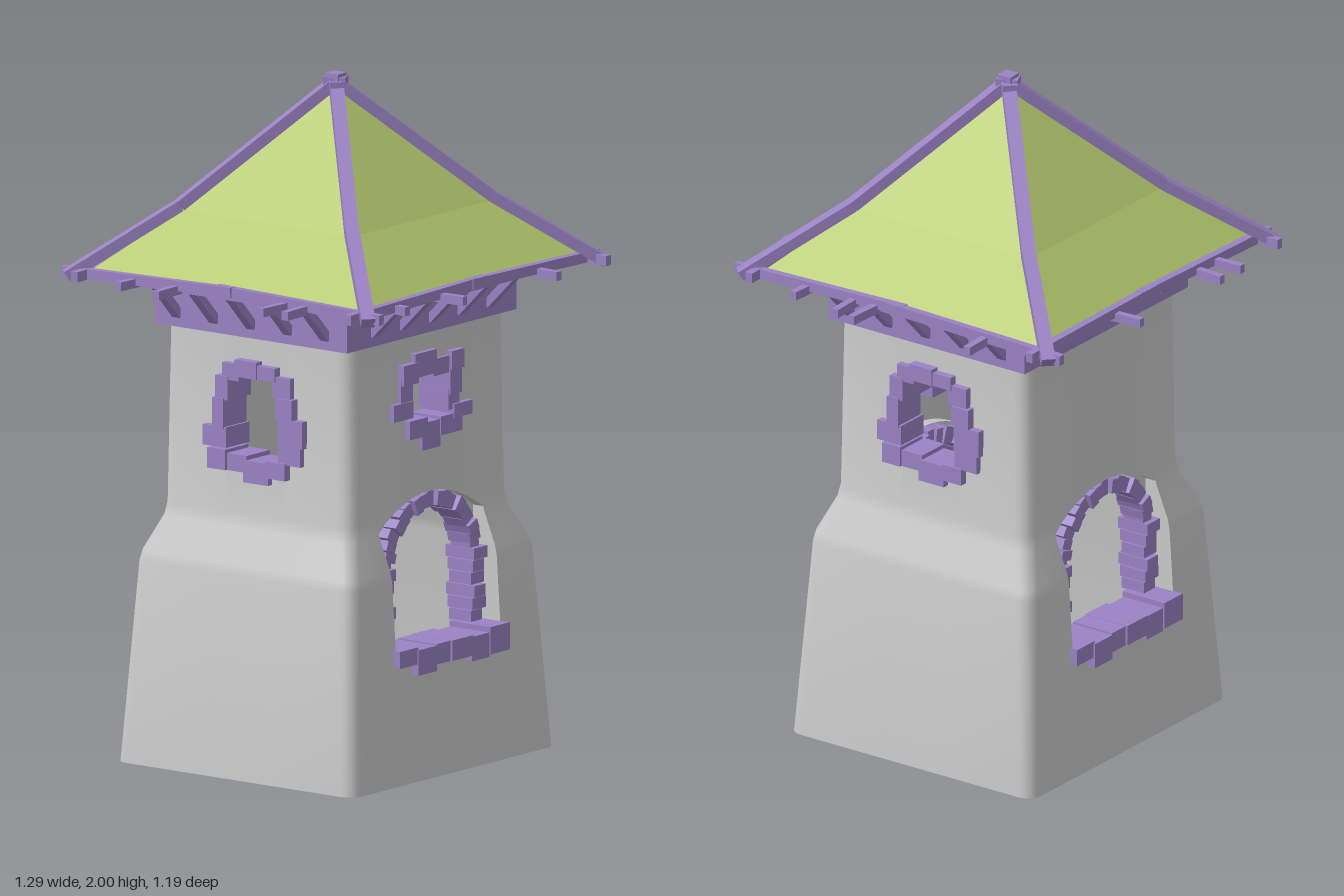
import * as THREE from 'three';
import { toCreasedNormals } from 'three/addons/utils/BufferGeometryUtils.js';

const plaster = new THREE.MeshStandardMaterial({ color: 0xcccccc, side: THREE.DoubleSide });
const timber = new THREE.MeshStandardMaterial({ color: 0x9b82c4 });
const thatch = new THREE.MeshStandardMaterial({ color: 0xb5ca70, side: THREE.DoubleSide, flatShading: true });

// Tower profile: height, half width in x, half width in z
const PROFILE = [[0, .48, .435], [.59, .441, .396], [.62, .434, .39], [.72, .386, .349], [.76, .377, .343], [1.3, .37, .335]];
const half = (y, k) => {
  let i = 1;
  while (i < PROFILE.length - 1 && y > PROFILE[i][0]) i++;
  const a = PROFILE[i - 1], b = PROFILE[i];
  return a[k] + (b[k] - a[k]) * (y - a[0]) / (b[0] - a[0]);
};

function named(name, parent) {
  const g = new THREE.Group();
  g.name = name;
  parent.add(g);
  return g;
}

function block(name, parent, x, y, z, w, h, d, roll = 0) {
  const m = new THREE.Mesh(new THREE.BoxGeometry(w, h, d), timber);
  m.name = name;
  m.position.set(x, y, z);
  m.rotation.z = roll;
  parent.add(m);
  return m;
}

// Square beam running from p to q
function beam(name, parent, p, q, w, h = w) {
  const a = new THREE.Vector3(...p), b = new THREE.Vector3(...q);
  const m = new THREE.Mesh(new THREE.BoxGeometry(w, h, a.distanceTo(b)), timber);
  m.name = name;
  m.position.copy(a).lerp(b, .5);
  m.lookAt(b);
  parent.add(m);
}

function quadsMesh(name, parent, quads, mat) {
  const pos = [];
  const tri = (a, b, c) => {
    const n = b.clone().sub(a).cross(c.clone().sub(a));
    if (n.length() > 1e-8) pos.push(...a, ...b, ...c);
  };
  for (const [a, b, c, d] of quads) { tri(a, b, c); tri(a, c, d); }
  let geo = new THREE.BufferGeometry();
  geo.setAttribute('position', new THREE.Float32BufferAttribute(pos, 3));
  geo.computeVertexNormals();
  if (!mat.flatShading) geo = toCreasedNormals(geo, .7);
  const m = new THREE.Mesh(geo, mat);
  m.name = name;
  parent.add(m);
}

// Openings in the walls: half width, sill height, head height along u
const nicheTop = u => .815 - .085 * (u / .245) ** 2;
const ARCH = { hw: .245, lo: .36, top: nicheTop };
const FRONT_WINDOW = { hw: .1, lo: 1.02, top: () => 1.17 };
const SIDE_WINDOW = { hw: .105, lo: .92, top: u => 1.185 - .04 * (u / .105) ** 2 };
const HOLES = [[ARCH, FRONT_WINDOW], [SIDE_WINDOW], [ARCH], [SIDE_WINDOW]];

function wallPoint(f, u, a, y) {
  const r = .045, th = f * Math.PI / 2;
  const A = half(y, f % 2 ? 2 : 1), N = half(y, f % 2 ? 1 : 2);
  const s = THREE.MathUtils.clamp(u, r - A, A - r) + r * Math.sin(a);
  const n = N - r + r * Math.cos(a);
  return new THREE.Vector3(s * Math.cos(th) + n * Math.sin(th), y, -s * Math.sin(th) + n * Math.cos(th));
}

function buildWalls(parent) {
  const quads = [];
  const patch = (f, c0, c1, lo, hi) => {
    const keys = PROFILE.map(p => p[0]);
    const at = ([u, a], y) => wallPoint(f, u, a, THREE.MathUtils.clamp(y, lo(u), hi(u)));
    const rows = [0, ...keys, 1.3];
    for (let i = 0; i < rows.length - 1; i++)
      quads.push([at(c0, rows[i]), at(c1, rows[i]), at(c1, rows[i + 1]), at(c0, rows[i + 1])]);
  };
  for (let f = 0; f < 4; f++) {
    const us = [-9, 9];
    for (const h of HOLES[f]) for (let i = 0; i <= 12; i++) us.push(h.hw * (i / 6 - 1));
    us.sort((a, b) => a - b);
    for (let i = 0; i < us.length - 1; i++) {
      if (us[i + 1] - us[i] < 1e-6) continue;
      let lo = () => 0;
      for (const h of HOLES[f]) if (Math.abs(us[i] + us[i + 1]) / 2 < h.hw) {
        patch(f, [us[i], 0], [us[i + 1], 0], lo, () => h.lo);
        lo = h.top;
      }
      patch(f, [us[i], 0], [us[i + 1], 0], lo, () => 1.3);
    }
    // rounded corner
    for (let i = 0; i < 4; i++)
      patch(f, [9, i * Math.PI / 8], [9, (i + 1) * Math.PI / 8], () => 0, () => 1.3);
  }
  quadsMesh('towerWalls', parent, quads, plaster);
}

// Recessed archway with stones, jambs and sill
function buildArchway(parent) {
  const g = named('archway', parent), zIn = .31;
  const outline = [[-.245, .36], [-.245, .59], [-.245, .62], [-.245, .72]];
  for (let i = 0; i <= 16; i++) { const u = -.245 + .49 * i / 16; outline.push([u, nicheTop(u)]); }
  outline.push([.245, .72], [.245, .62], [.245, .59], [.245, .36]);
  const quads = [];
  for (let i = 0; i < outline.length; i++) {
    const [a, b] = [outline[i], outline[(i + 1) % outline.length]];
    const v = ([x, y], z) => new THREE.Vector3(x, y, z);
    quads.push([v(a, half(a[1], 2)), v(b, half(b[1], 2)), v(b, zIn), v(a, zIn)]);
  }
  quadsMesh('nicheReveal', g, quads, plaster);
  const shape = new THREE.Shape(outline.map(p => new THREE.Vector2(...p)));
  const hole = new THREE.Path();
  hole.moveTo(-.2, .37);
  hole.lineTo(.2, .37);
  hole.lineTo(.2, .6);
  hole.absellipse(0, .6, .2, .185, 0, Math.PI, false);
  hole.lineTo(-.2, .37);
  shape.holes.push(hole);
  const panel = new THREE.Mesh(new THREE.ShapeGeometry(shape, 12), plaster);
  panel.name = 'nichePanel';
  panel.position.z = zIn;
  g.add(panel);
  for (let i = 0; i < 19; i++) {
    const t = Math.PI * (i + .5) / 19;
    block('archStone', g, .207 * Math.cos(t), .605 + .187 * Math.sin(t), .31, .042 + .006 * (i % 2), .03, .07 + .012 * (i % 3), t);
  }
  for (const s of [-1, 1]) for (let i = 0; i < 6; i++)
    block('jambStone', g, s * (.21 + .004 * (i % 2)), .415 + i * .037, .31, .052 + .01 * (i % 2), .034, .08 + .012 * (i % 3));
  const sill = [[-.215, .37, .085, .05], [-.135, .35, .085, .075], [-.055, .36, .065, .06], [.03, .36, .1, .06], [.12, .348, .08, .072], [.205, .36, .09, .08]];
  sill.forEach(([x, y, w, h], i) => block('sillStone', g, x, y, .365, w, h, .14 + .01 * (i % 2)));
  return g;
}

// Window surround from [u, y, width, height] stones, facing +z at the given distance
function windowFrame(name, parent, stones, face) {
  const g = named(name, parent);
  stones.forEach(([u, y, w, h], i) => block('frameStone', g, u, y, face - .05 - .004 * (i % 3), w, h, .11));
  return g;
}
const FRONT_STONES = [[-.105, 1.175, .07, .06], [-.03, 1.195, .1, .07], [.05, 1.175, .08, .05], [.115, 1.185, .06, .055], [.11, 1.125, .055, .08],
  [.105, 1.07, .05, .06], [.14, 1.035, .085, .04], [.09, 1, .1, .055], [0, .98, .085, .08], [-.07, 1.01, .085, .055],
  [-.135, 1.07, .09, .05], [-.115, 1.13, .055, .07]];
const SIDE_STONES = [[-.12, 1.05, .04, .09], [-.11, 1.125, .045, .07], [-.08, 1.175, .06, .05], [-.02, 1.19, .08, .05], [.05, 1.185, .07, .04],
  [.105, 1.15, .065, .06], [.12, 1.09, .06, .06], [.14, 1.02, .09, .08], [.135, .955, .08, .06], [.09, .905, .07, .05],
  [.015, .89, .09, .065], [-.06, .91, .08, .05], [-.125, .915, .065, .06], [-.135, .98, .085, .06]];

function buildRoof(parent) {
  const roof = named('roof', parent), rings = [[.525, .49, 1.44], [.325, .31, 1.61], [.001, .001, 1.97]];
  const corner = ([x, z, y], k) => new THREE.Vector3(k === 0 || k === 3 ? -x : x, y, k < 2 ? z : -z);
  const quads = [];
  for (let r = 0; r < 2; r++) for (let k = 0; k < 4; k++) {
    const n = (k + 1) % 4;
    quads.push([corner(rings[r], k), corner(rings[r], n), corner(rings[r + 1], n), corner(rings[r + 1], k)]);
  }
  quadsMesh('roofCover', roof, quads, thatch);
  block('eaveBoards', roof, 0, 1.428, 0, 1.05, .018, .98);
  // hip beams and finial
  for (const sx of [-1, 1]) for (const sz of [-1, 1]) {
    const mid = [sx * .328, 1.625, sz * .313];
    beam('hipBeam', roof, [sx * .555, 1.425, sz * .55], mid, .04, .032);
    beam('hipBeam', roof, mid, [0, 1.975, 0], .04, .032);
  }
  for (let i = 0; i < 3; i++) {
    const m = block('finial', roof, 0, 1.965 + i * .01, 0, .085 - .02 * i, .03, .045);
    m.rotation.y = .8 + i * 1.2;
  }
  // rough rails along the eaves
  for (const s of [-1, 1]) {
    beam('eaveRail', roof, [-.585, 1.432, s * .498], [.05, 1.447, s * .502], .024, .03);
    beam('eaveRail', roof, [-.02, 1.447, s * .505], [.58, 1.436, s * .5], .024, .03);
    beam('eaveRail', roof, [s * .53, 1.432, -.58], [s * .535, 1.447, .04], .022, .03);
    beam('eaveRail', roof, [s * .528, 1.447, -.02], [s * .532, 1.434, .58], .022, .03);
  }
  // loose rafter ends: position along the eave, reach
  const ends = { front: [[-.36, .55], [-.165, .59], [.3, .59]], back: [[-.31, .6], [-.235, .6], [.18, .6]],
    right: [[-.305, .635], [.075, .645], [.165, .635], [.315, .6]], left: [[-.31, .605], [-.17, .64], [.24, .645], [.3, .64]] };
  for (const [side, list] of Object.entries(ends)) list.forEach(([u, reach], i) => {
    const s = side === 'front' || side === 'right' ? 1 : -1, lean = .012 * (i % 2 ? 1 : -1);
    const p = d => side === 'front' || side === 'back' ? [u + lean * (d > .5), 1.43, s * d] : [s * d, 1.43, u + lean * (d > .5)];
    beam('rafterEnd', roof, p(.38), p(reach), .022, .026);
  });
}

export function createModel() {
  const tower = new THREE.Group();
  tower.name = 'watchtower';
  buildWalls(tower);
  buildArchway(tower);
  buildArchway(tower).rotation.y = Math.PI;
  windowFrame('frontWindow', tower, FRONT_STONES, .352);
  windowFrame('leftWindow', tower, SIDE_STONES, .395).rotation.y = Math.PI / 2;
  windowFrame('rightWindow', tower, SIDE_STONES, .395).rotation.y = -Math.PI / 2;
  // timber collar with struts carrying the eaves
  block('collar', tower, 0, 1.352, 0, .795, .135, .7);
  for (const s of [-1, 1]) for (const u of [-.27, -.135, 0, .135, .27]) {
    beam('strut', tower, [u, 1.32, s * .345], [u, 1.42, s * .445], .028, .024);
    beam('strut', tower, [s * .393, 1.32, u], [s * .49, 1.42, u], .028, .024);
  }
  buildRoof(tower);
  return tower;
}
